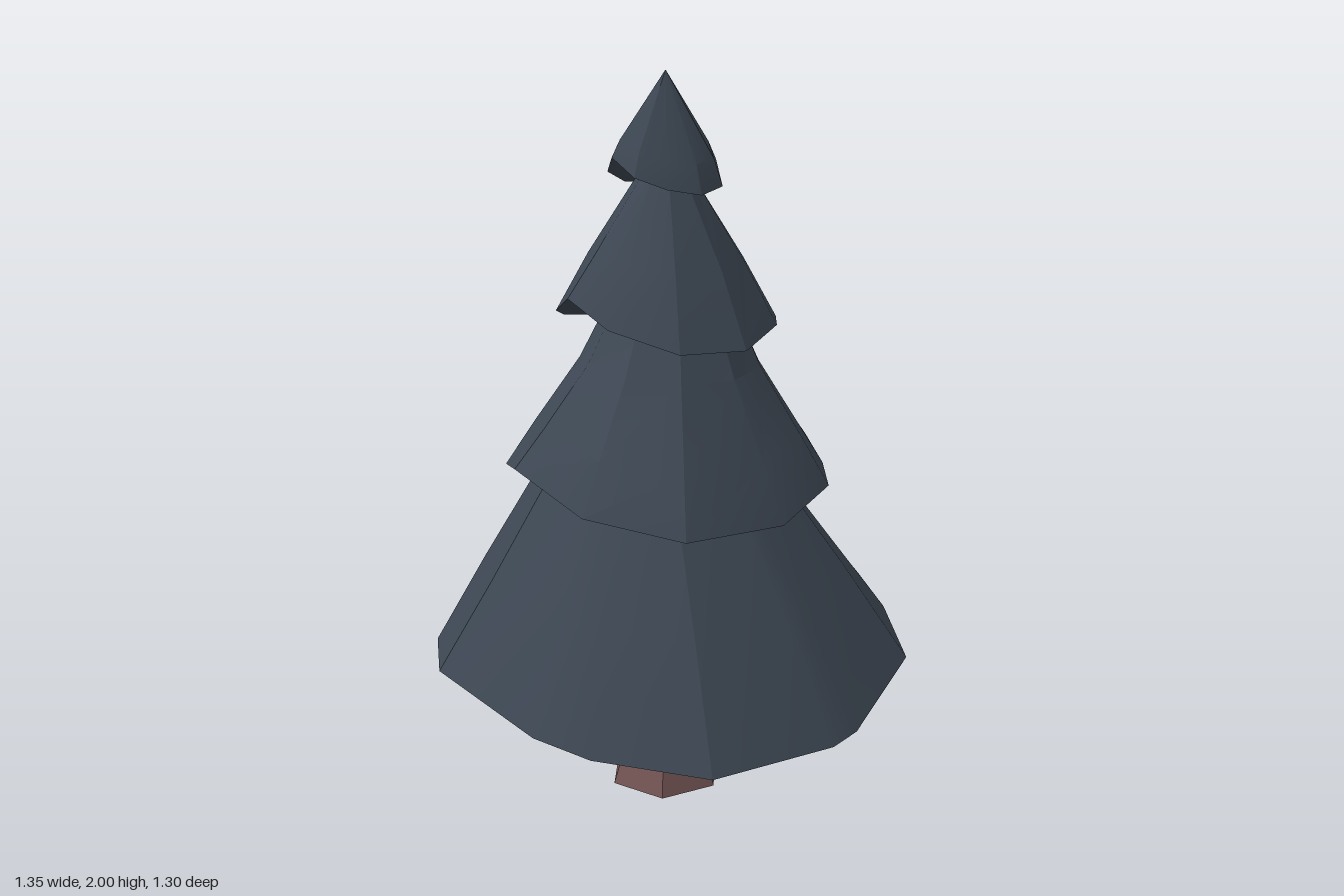
import * as THREE from 'three';
import { toCreasedNormals } from 'three/addons/utils/BufferGeometryUtils.js';

const needles = new THREE.MeshStandardMaterial({ color: 0x3d4753 });
const bark = new THREE.MeshStandardMaterial({ color: 0x755555, flatShading: true });

// Each tier: rim outline [x, z], profile rings [scale, y], droop of the rim per unit of z, sideways tilt,
// sideways lean of the top, height of the centre of the underside, and apex height.
const tiers = [
  {
    name: 'bottomTier', droop: 0.22, tilt: 0.03, lean: -0.06, under: 0.46, apex: 1.4,
    rings: [[1, 0.48], [0.75, 0.7], [0.47, 0.96]],
    rim: [[-0.675, 0], [-0.55, -0.38], [-0.49, -0.45], [-0.27, -0.61], [-0.18, -0.655], [0.22, -0.635],
      [0.49, -0.45], [0.54, -0.39], [0.63, -0.17], [0.67, -0.03], [0.63, 0.17], [0.55, 0.4],
      [0.24, 0.62], [0.15, 0.65], [-0.2, 0.645], [-0.45, 0.47], [-0.55, 0.34]],
  },
  {
    name: 'lowerMiddleTier', droop: 0.26, tilt: -0.02, lean: 0.03, under: 0.97, apex: 1.68,
    rings: [[1, 0.98], [0.82, 1.08], [0.55, 1.24], [0.37, 1.4]],
    rim: [[-0.445, 0], [-0.36, -0.28], [-0.18, -0.42], [0.09, -0.43], [0.36, -0.27], [0.43, -0.14],
      [0.45, 0], [0.41, 0.16], [0.36, 0.27], [0.13, 0.415], [-0.16, 0.425], [-0.37, 0.26]],
  },
  {
    name: 'upperMiddleTier', droop: 0.39, tilt: -0.03, lean: 0, under: 1.41, apex: 1.86,
    rings: [[1, 1.42], [0.7, 1.54], [0.25, 1.73]],
    rim: [[-0.285, 0], [-0.25, -0.16], [-0.19, -0.24], [-0.07, -0.275], [0.07, -0.28], [0.2, -0.2],
      [0.26, -0.12], [0.29, -0.02], [0.26, 0.14], [0.24, 0.18], [0.09, 0.28], [-0.1, 0.275], [-0.24, 0.15]],
  },
  {
    name: 'topTier', droop: 0.55, tilt: -0.06, lean: 0, under: 1.76, apex: 2,
    rings: [[1, 1.775], [0.85, 1.82]],
    rim: [[-0.155, 0], [-0.13, -0.08], [-0.05, -0.14], [0.05, -0.135], [0.13, -0.075], [0.15, 0],
      [0.11, 0.11], [0.03, 0.145], [-0.06, 0.125], [-0.13, 0.08]],
  },
];

// Closed skirt: stacked scaled rims, a pointed top and a fanned underside
function tierGeometry({ rim, rings, droop, tilt, lean, under, apex }) {
  const n = rim.length;
  const positions = [];
  const index = [];
  for (const [s, y] of rings) {
    for (const [x, z] of rim) {
      positions.push(x * s + lean * (1 - s), y - droop * Math.abs(z) * s ** 3 + tilt * x * s, z * s);
    }
  }
  const top = rings.length * n;
  positions.push(lean, apex, 0, 0, under, 0);
  for (let i = 0; i < n; i++) {
    const j = (i + 1) % n;
    for (let r = 0; r < rings.length - 1; r++) {
      const a = r * n + i, b = r * n + j;
      index.push(b, a, a + n, b, a + n, b + n);
    }
    index.push(top - n + j, top - n + i, top);
    index.push(i, j, top + 1);
  }
  const geometry = new THREE.BufferGeometry();
  geometry.setAttribute('position', new THREE.Float32BufferAttribute(positions, 3));
  geometry.setIndex(index);
  return toCreasedNormals(geometry, 0.45);
}

export function createModel() {
  const tree = new THREE.Group();
  tree.name = 'firTree';

  // Six-sided trunk with a flared, closed base
  const profile = [[0, 0], [0.165, 0], [0.095, 0.22], [0.067, 0.46], [0.05, 0.7], [0, 0.7]]
    .map(([r, y]) => new THREE.Vector2(r, y));
  const trunk = new THREE.Mesh(new THREE.LatheGeometry(profile, 6, Math.PI / 2), bark);
  trunk.name = 'trunk';
  tree.add(trunk);

  // Four overlapping foliage skirts
  for (const tier of tiers) {
    const mesh = new THREE.Mesh(tierGeometry(tier), needles);
    mesh.name = tier.name;
    tree.add(mesh);
  }
  return tree;
}
